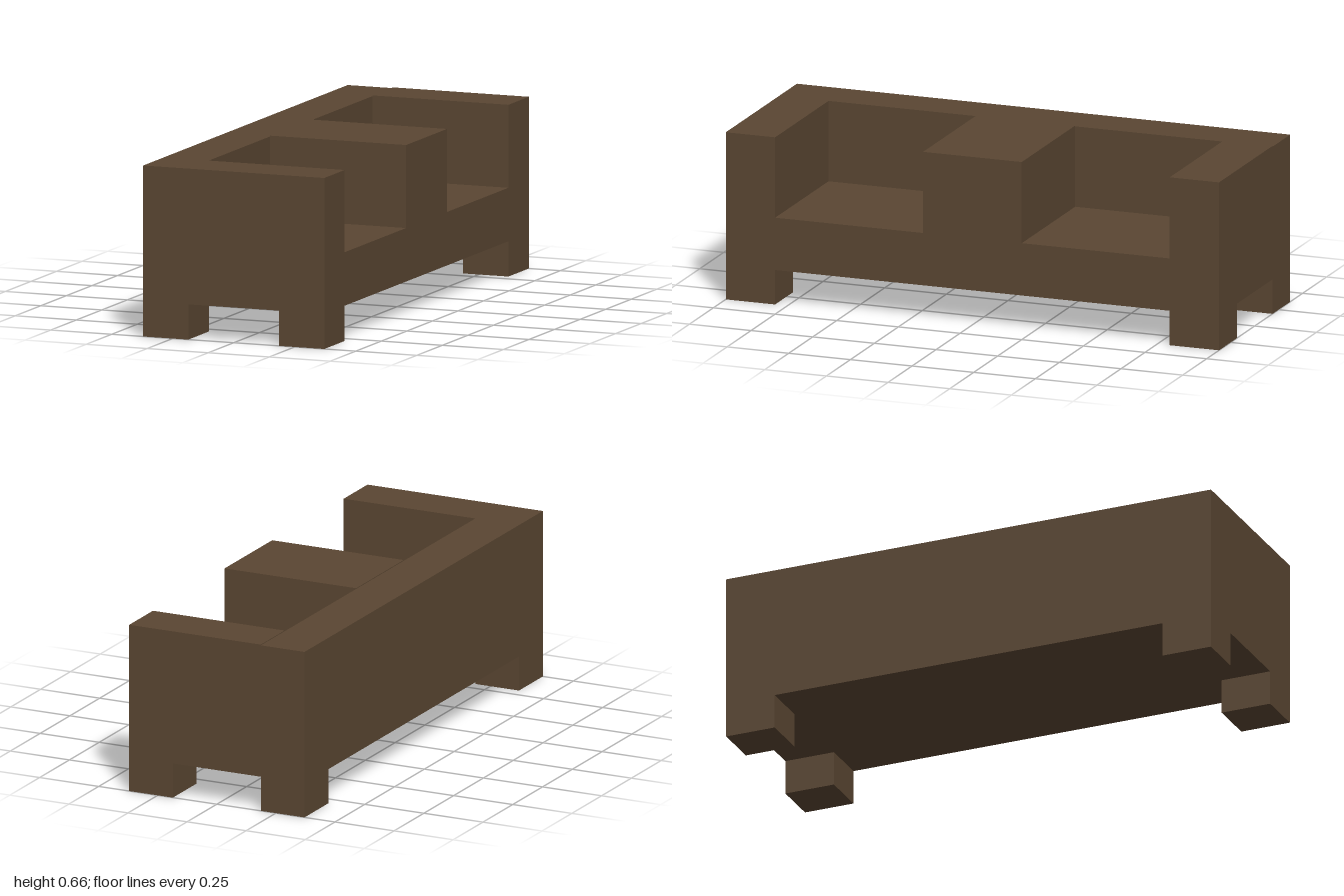
import * as THREE from 'three';

const material = new THREE.MeshStandardMaterial({ color: 0x5a4632, flatShading: true });

// Box given by its lower and upper corners
function block(name, [x0, y0, z0], [x1, y1, z1]) {
  const geometry = new THREE.BoxGeometry(x1 - x0, y1 - y0, z1 - z0);
  const mesh = new THREE.Mesh(geometry, material);
  mesh.name = name;
  mesh.position.set((x0 + x1) / 2, (y0 + y1) / 2, (z0 + z1) / 2);
  return mesh;
}

export function createModel() {
  const group = new THREE.Group();
  group.name = 'twoSeatBench';

  const halfWidth = 0.371, inner = 0.186; // depth of the bench runs along x
  const legTop = 0.135, seatTop = 0.34, top = 0.655, raisedTop = 0.658;

  // Seat slab and the backrest along the -x side
  group.add(block('seat', [-halfWidth, legTop, -1], [halfWidth, seatTop, 1]));
  group.add(block('backrest', [-halfWidth, seatTop, -1], [-inner, top, 1]));

  // Armrests at both ends and the wide divider between the seats
  group.add(block('frontArmrest', [-inner, seatTop, 0.8], [halfWidth, top, 1]));
  group.add(block('centreDivider', [-inner, seatTop, -0.2], [halfWidth, raisedTop, 0.2]));
  group.add(block('backArmrest', [-inner, seatTop, -1], [halfWidth, raisedTop, -0.8]));

  // Four corner legs
  for (const [xName, x] of [['Left', inner], ['Right', -halfWidth]]) {
    for (const [zName, z] of [['front', 0.8], ['back', -1]]) {
      group.add(block(zName + xName + 'Leg', [x, 0, z], [x + halfWidth - inner, legTop, z + 0.2]));
    }
  }
  return group;
}
